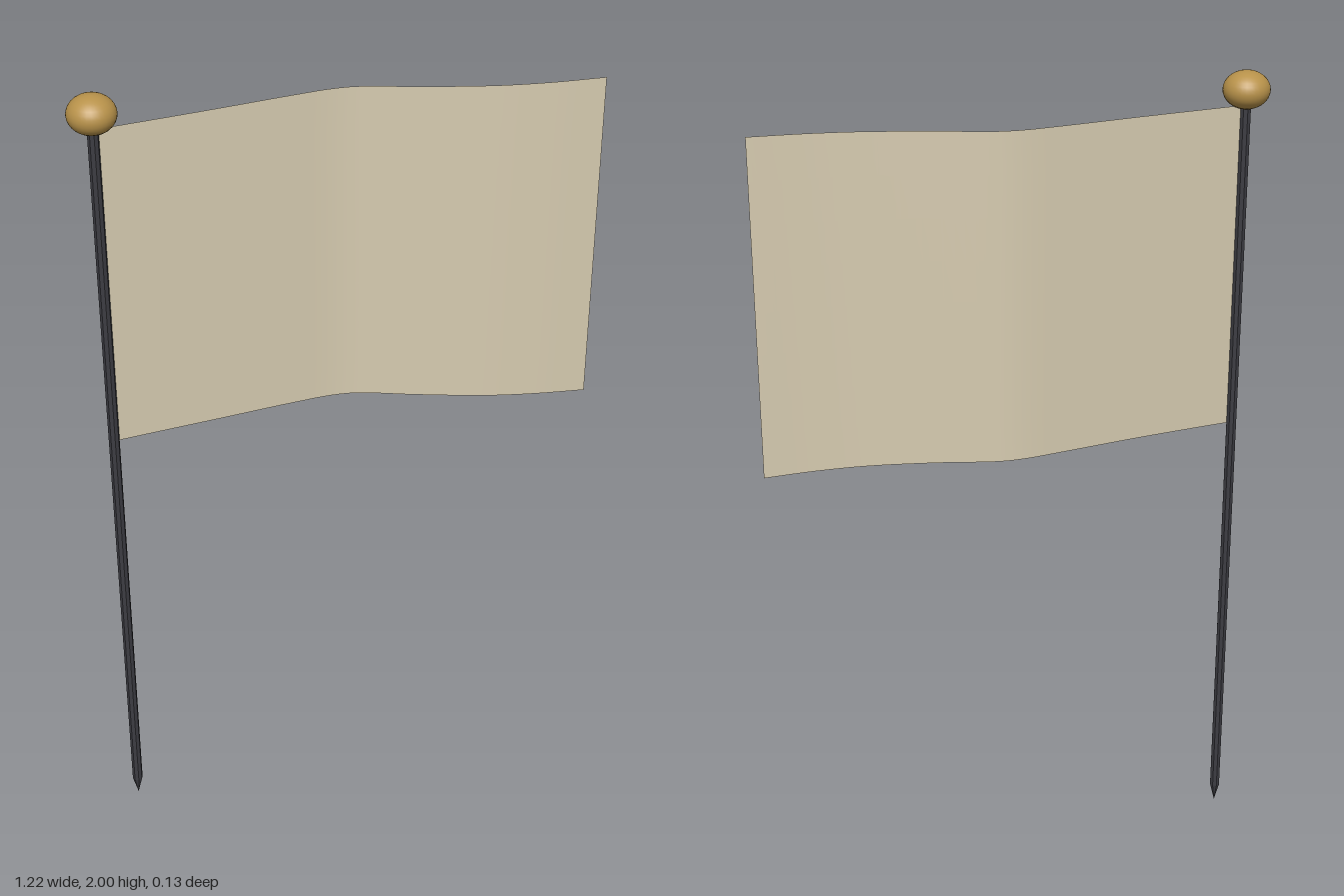
import * as THREE from 'three';

const POLE_X = -0.555, POLE_Z = -0.01;

function lathe(name, points, sides, color, flat) {
  const geometry = new THREE.LatheGeometry(points, sides);
  const material = new THREE.MeshStandardMaterial({ color, flatShading: flat });
  const mesh = new THREE.Mesh(geometry, material);
  mesh.name = name;
  mesh.position.set(POLE_X, 0, POLE_Z);
  return mesh;
}

// Cloth: a plane bent along a wavy plan curve, its lower edge sagging to the free end
function makeCloth() {
  const plan = new THREE.CatmullRomCurve3([
    [-0.545, -0.01], [-0.3, -0.031], [-0.1, -0.051], [0.0, -0.058], [0.06, -0.052],
    [0.2, -0.007], [0.36, 0.037], [0.48, 0.057], [0.61, 0.068],
  ].map(([x, z]) => new THREE.Vector3(x, 0, z)));
  const geometry = new THREE.PlaneGeometry(1, 1, 48, 8);
  const pos = geometry.attributes.position;
  for (let i = 0; i < pos.count; i++) {
    const t = pos.getX(i) + 0.5, v = pos.getY(i) + 0.5;
    const p = plan.getPointAt(t);
    const bottom = 1.113 - 0.03 * Math.pow(t, 2.1);
    pos.setXYZ(i, p.x, THREE.MathUtils.lerp(bottom, 1.918, v), p.z);
  }
  geometry.computeVertexNormals();
  const cloth = new THREE.Mesh(geometry, new THREE.MeshStandardMaterial({ color: 0xd6cbb0, side: THREE.DoubleSide }));
  cloth.name = 'cloth';
  return cloth;
}

export function createModel() {
  const flag = new THREE.Group();
  flag.name = 'flag';

  // Slim pole with a pointed foot
  const polePoints = [[0, 0], [0.013, 0.05], [0.013, 1.93]].map(([r, y]) => new THREE.Vector2(r, y));
  flag.add(lathe('pole', polePoints, 8, 0x3c3c42, true));

  // Squashed ball finial
  const ballPoints = [];
  for (let i = 0; i <= 16; i++) {
    const a = -Math.PI / 2 + (Math.PI * i) / 16;
    ballPoints.push(new THREE.Vector2(Math.max(0, 0.056 * Math.cos(a)), 1.955 + 0.045 * Math.sin(a)));
  }
  flag.add(lathe('finial', ballPoints, 32, 0xb8924a, false));

  flag.add(makeCloth());
  return flag;
}
